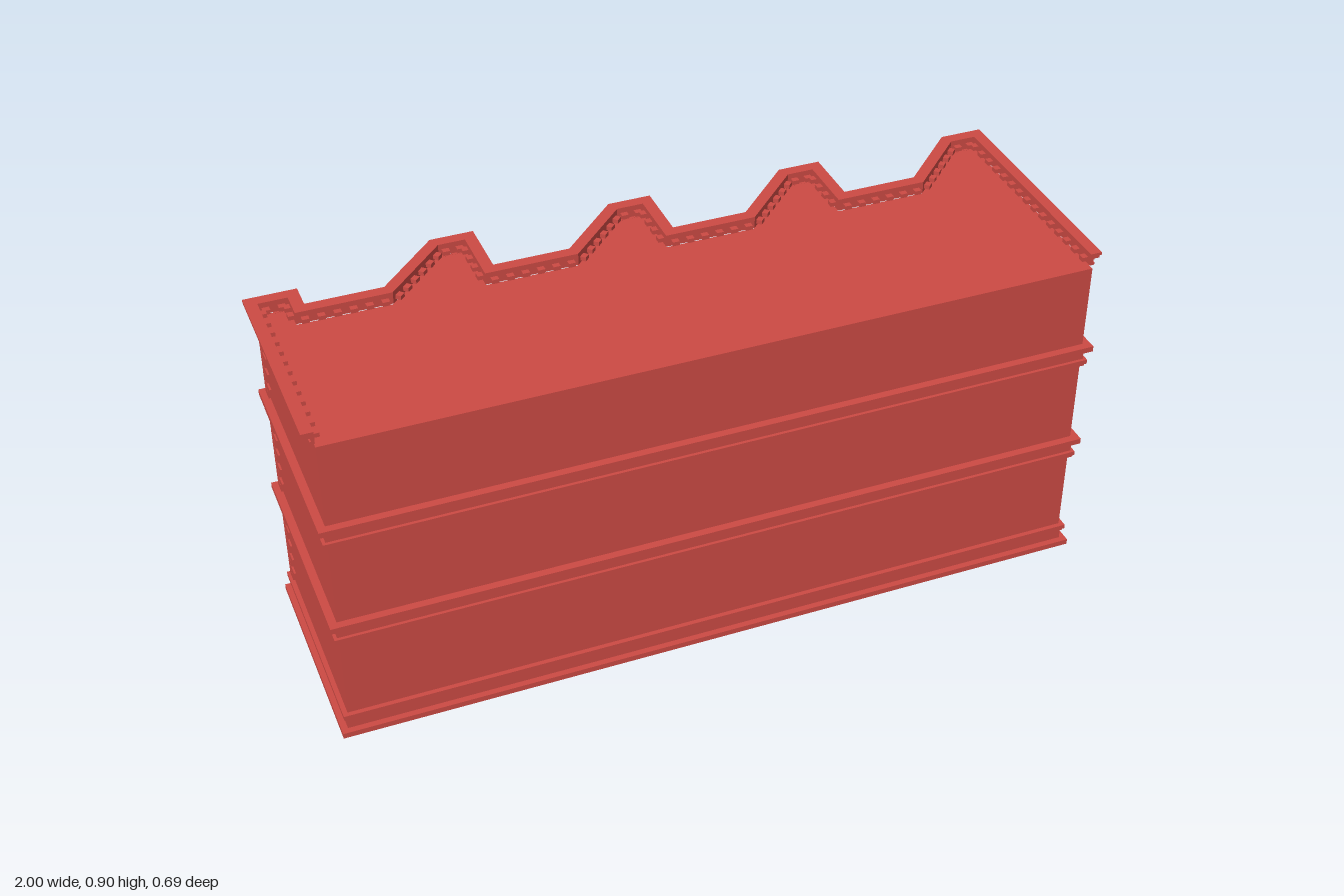
import * as THREE from 'three';
import { mergeGeometries } from 'three/addons/utils/BufferGeometryUtils.js';

const mat = (color) => new THREE.MeshStandardMaterial({ color, side: THREE.DoubleSide });
const BAYS = 4, PITCH = 0.467, ROOF = 0.87, TOP = 0.905, BACK = 0.325, SIDE = 0.972;

// Plan of the saw-tooth street side as [x, z], running towards +x
function streetPlan() {
  const p = [[-SIDE, -0.222], [-0.895, -0.222]];
  for (let i = 0; i < BAYS; i++) {
    const x = i * PITCH, zr = -0.152 + 0.003 * i, zp = -0.312 + 0.004 * i;
    p.push([x - 0.895, zr], [x - 0.66, zr], [x - 0.5, zp], [i === BAYS - 1 ? SIDE : x - 0.428, zp]);
    if (i < BAYS - 1) p[p.length - 1][0] = (i + 1) * PITCH - 0.895;
  }
  return p;
}

// Direction, outward normal and length of a wall run
function run(a, b) {
  const dx = b[0] - a[0], dz = b[1] - a[1], len = Math.hypot(dx, dz);
  return { a, b, len, d: [dx / len, dz / len], n: [dz / len, -dx / len] };
}

// Mitred outward offset of a plan
function offset(pts, dist, closed) {
  const n = pts.length;
  return pts.map((p, i) => {
    const prev = closed || i > 0 ? run(pts[(i + n - 1) % n], p).n : null;
    const next = closed || i < n - 1 ? run(p, pts[(i + 1) % n]).n : null;
    const u = prev || next, v = next || prev;
    const k = dist / (1 + u[0] * v[0] + u[1] * v[1]);
    return [p[0] + (u[0] + v[0]) * k, p[1] + (u[1] + v[1]) * k];
  });
}

const toShape = (pts) => new THREE.Shape(pts.map(([x, z]) => new THREE.Vector2(x, -z)));

function extrudeUp(shape, y, h) {
  const g = new THREE.ExtrudeGeometry(shape, { depth: h, bevelEnabled: false });
  return g.rotateX(-Math.PI / 2).translate(0, y, 0);
}

// Rectangular or round-headed outline in a wall's own plane
function opening(w, y0, y1, arched) {
  const s = new THREE.Shape(), r = w / 2;
  s.moveTo(-r, y0);
  s.lineTo(r, y0);
  if (arched) {
    s.lineTo(r, y1 - r);
    s.absarc(0, y1 - r, r, 0, Math.PI, false);
  } else {
    s.lineTo(r, y1);
    s.lineTo(-r, y1);
  }
  s.closePath();
  return s;
}

export function createModel() {
  const model = new THREE.Group();
  model.name = 'terraceRow';
  const brick = mat(0xcc4a44), dark = mat(0x2b2b2b), glass = mat(0x999999);

  const add = (parent, name, geo, material) => {
    const m = new THREE.Mesh(geo, material);
    m.name = name;
    parent.add(m);
    return m;
  };
  const box = (w, h, d, x, y, z) => new THREE.BoxGeometry(w, h, d).translate(x, y, z);
  const slab = (shape, depth, z) =>
    new THREE.ExtrudeGeometry(shape, { depth, bevelEnabled: false, curveSegments: 10 }).translate(0, 0, z);

  const street = streetPlan();
  const plan = [...street, [SIDE, BACK], [-SIDE, BACK]];
  const wallRuns = plan.map((p, i) => run(p, plan[(i + 1) % plan.length]));

  // Framed sash window or door in a wall's own space
  function addOpening(wall, kind, w, y0, y1) {
    const g = new THREE.Group(), arched = kind === 'archedWindow', t = 0.011;
    g.name = kind;
    wall.add(g);
    add(g, 'glass', new THREE.ShapeGeometry(opening(w, y0, y1, arched), 10).translate(0, 0, -0.009), glass);
    const frame = opening(w + 0.006, y0 - 0.003, y1 + 0.003, arched);
    frame.holes.push(opening(w - 2 * t, y0 + t, y1 - t, arched));
    add(g, 'frame', slab(frame, 0.013, -0.008), dark);
    const bar = kind === 'door' ? y1 - 0.05 : (y0 + y1) / 2;
    add(g, 'crossBar', box(w - t, 0.007, 0.008, 0, bar, -0.005), dark);
    if (kind !== 'door') add(g, 'sill', box(w + 0.034, 0.011, 0.022, 0, y0 - 0.007, 0.008), brick);
    if (arched) {
      const spring = y1 - w / 2, hood = opening(w + 0.036, spring - 0.022, y1 + 0.018, true);
      hood.holes.push(opening(w + 0.006, spring - 0.021, y1 + 0.003, true));
      add(g, 'archHood', slab(hood, 0.014, 0), brick);
    } else {
      add(g, 'lintel', box(w + 0.03, 0.014, 0.016, 0, y1 + 0.008, 0.006), brick);
    }
  }

  // Walls, pierced on the recessed and the slanted runs
  wallRuns.forEach((r, i) => {
    const wall = new THREE.Group();
    const onStreet = i >= 2 && i < street.length - 1;
    const isRecess = onStreet && (i - 2) % 4 === 0, isSlant = onStreet && (i - 2) % 4 === 1;
    wall.name = isRecess ? 'recessedWall' : isSlant ? 'slantedWall' : 'plainWall';
    wall.position.set((r.a[0] + r.b[0]) / 2, 0, (r.a[1] + r.b[1]) / 2);
    wall.rotation.y = Math.atan2(r.n[0], r.n[1]);
    const face = opening(r.len, 0, ROOF, false);
    if (isRecess || isSlant) {
      const list = [
        isRecess ? ['door', 0.095, 0.075, 0.262] : ['window', 0.092, 0.1, 0.262],
        ['archedWindow', 0.092, 0.385, 0.53],
        ['archedWindow', 0.092, 0.675, 0.82],
      ];
      for (const [kind, w, y0, y1] of list) {
        face.holes.push(opening(w, y0, y1, kind === 'archedWindow'));
        addOpening(wall, kind, w, y0, y1);
      }
    }
    add(wall, 'wallPanel', slab(face, 0.012, -0.012), brick);
    model.add(wall);
  });

  add(model, 'roof', extrudeUp(toShape(plan), ROOF - 0.006, 0.006), brick);

  // String courses wrapping the whole building: [bottom, height, projection]
  const courses = [
    [0, 0.015, 0.02], [0.015, 0.028, 0.004], [0.043, 0.007, 0.008], [0.05, 0.012, 0.012],
    [0.29, 0.007, 0.008], [0.297, 0.012, 0.012], [0.309, 0.03, 0.004], [0.339, 0.015, 0.02],
    [0.582, 0.007, 0.008], [0.589, 0.012, 0.012], [0.601, 0.029, 0.004], [0.63, 0.015, 0.02],
  ];
  for (const [y, h, d] of courses) {
    const ring = toShape(offset(plan, d, true));
    ring.holes.push(toShape(offset(plan, -0.006, true)));
    add(model, 'stringCourse', extrudeUp(ring, y, h), brick);
  }

  // Stepped cornice and parapet on the street side and both ends
  const eaves = [[-SIDE, 0.315], ...street, [SIDE, 0.315]];
  for (const [y, h, d] of [[0.873, 0.007, 0.01], [0.88, 0.011, 0.006], [0.891, 0.006, 0.022], [0.897, TOP - 0.897, 0.028]]) {
    const strip = toShape([...offset(eaves, d, false), ...offset(eaves, -0.002, false).reverse()]);
    add(model, 'cornice', extrudeUp(strip, y, h), brick);
  }

  // Box laid against a wall run at a distance along it
  const onRun = (r, s, y, w, h, depth) =>
    new THREE.BoxGeometry(w, h, depth * 2)
      .rotateY(Math.atan2(r.n[0], r.n[1]))
      .translate(r.a[0] + r.d[0] * s, y, r.a[1] + r.d[1] * s);

  // Dentils beneath the cornice
  const dentils = [];
  for (let i = 0; i < eaves.length - 1; i++) {
    const r = run(eaves[i], eaves[i + 1]), n = Math.max(2, Math.round(r.len / 0.04));
    for (let k = 0; k < n; k++) dentils.push(onRun(r, ((k + 0.5) * r.len) / n, 0.8855, 0.018, 0.011, 0.017));
  }
  add(model, 'dentils', mergeGeometries(dentils), brick);

  // Alternating quoins at every outer corner of the street side
  const quoins = [], rows = 10;
  for (let i = 0; i < street.length; i++) {
    const before = wallRuns[(i + plan.length - 1) % plan.length], after = wallRuns[i];
    if (before.d[0] * after.d[1] - before.d[1] * after.d[0] < 0.01) continue;
    for (const [y0, y1] of [[0.062, 0.29], [0.355, 0.582], [0.645, 0.872]]) {
      const h = (y1 - y0) / rows;
      for (let k = 0; k < rows; k++) {
        const y = y0 + (k + 0.5) * h;
        const long = k % 2 ? 0.054 : 0.028, other = k % 2 ? 0.028 : 0.054;
        const la = Math.min(long, before.len * (k % 2 ? 0.52 : 0.35));
        const lb = Math.min(other, after.len * (k % 2 ? 0.35 : 0.52));
        quoins.push(onRun(before, before.len - la / 2 + 0.002, y, la + 0.004, h - 0.003, 0.005));
        quoins.push(onRun(after, lb / 2 - 0.002, y, lb + 0.004, h - 0.003, 0.005));
      }
    }
  }
  add(model, 'quoins', mergeGeometries(quoins), brick);

  // Entrance stairs with sloping railings in each recess
  for (let i = 0; i < BAYS; i++) {
    const stairs = new THREE.Group();
    stairs.name = 'entranceStairs';
    stairs.position.set(-0.7775 + i * PITCH, 0, -0.152 + 0.003 * i);
    const steps = 4, rise = 0.0185, tread = 0.019;
    for (let k = 0; k < steps; k++) {
      const depth = 0.032 + tread * (steps - k - 1);
      add(stairs, 'step', box(0.148, rise, depth, 0, rise * (k + 0.5), -depth / 2), brick);
    }
    for (const x of [-0.068, 0.068]) {
      const z0 = -0.015, z1 = -0.085, yA = 0.145, yB = 0.083, posts = 6;
      const slope = Math.atan2(yA - yB, z0 - z1), len = Math.hypot(yA - yB, z0 - z1);
      for (const drop of [0, 0.05]) {
        const rail = add(stairs, 'handrail', new THREE.BoxGeometry(0.009, 0.006, len + 0.006), dark);
        rail.position.set(x, (yA + yB) / 2 - drop, (z0 + z1) / 2);
        rail.rotation.x = -slope;
      }
      for (let k = 0; k < posts; k++) {
        const t = k / (posts - 1), end = k === 0 || k === posts - 1;
        const w = end ? 0.008 : 0.004, h = end ? 0.072 : 0.052;
        const top = yA + (yB - yA) * t;
        add(stairs, end ? 'newelPost' : 'baluster', box(w, h, w, x, top - h / 2 + (end ? 0.004 : 0), z0 + (z1 - z0) * t), dark);
      }
    }
    model.add(stairs);
  }
  return model;
}
